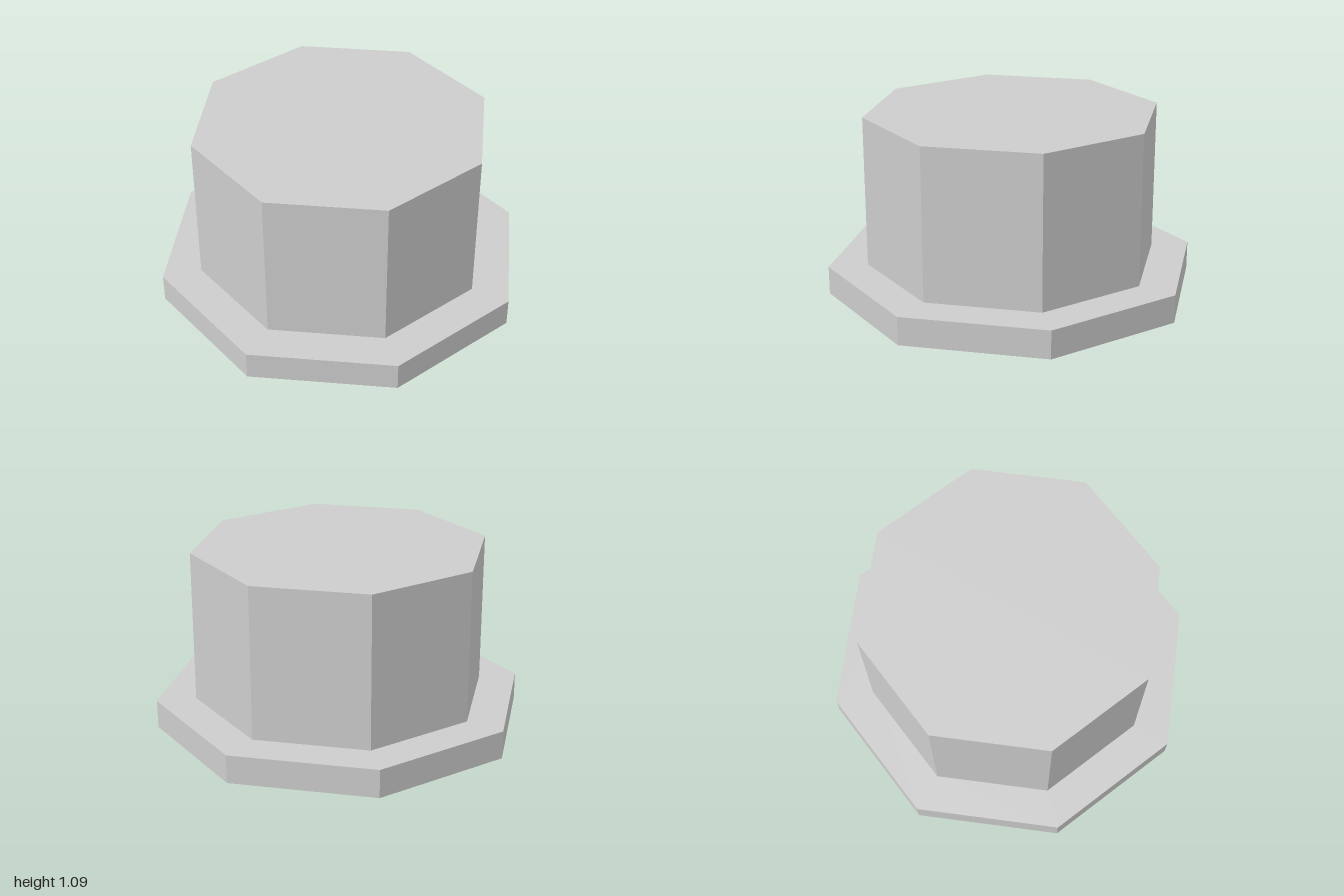
import * as THREE from 'three';

const SIDES = 8;

// Faceted eight-sided solid of revolution; profile is [apothem, y] with flat sides facing x and z
function octagonal(profile, material, name) {
  const k = 1 / Math.cos(Math.PI / SIDES);
  const points = profile.map(([a, y]) => new THREE.Vector2(a * k, y));
  const geometry = new THREE.LatheGeometry(points, SIDES, Math.PI / SIDES).toNonIndexed();
  geometry.computeVertexNormals();
  const mesh = new THREE.Mesh(geometry, material);
  mesh.name = name;
  return mesh;
}

export function createModel() {
  const group = new THREE.Group();
  group.name = 'octagonalHat';
  const grey = new THREE.MeshStandardMaterial({ color: 0xcccccc, side: THREE.DoubleSide });
  grey.name = 'light grey';

  // Thin hollow crown, open at the bottom
  group.add(octagonal([[0.79, 0], [0.79, 1.085], [0, 1.085]], grey, 'crown'));

  // Solid ring brim whose hole sits just inside the crown wall
  group.add(octagonal(
    [[0.763, 0.035], [1, 0.035], [1, 0.2], [0.763, 0.2], [0.763, 0.035]], grey, 'brim'));

  return group;
}
